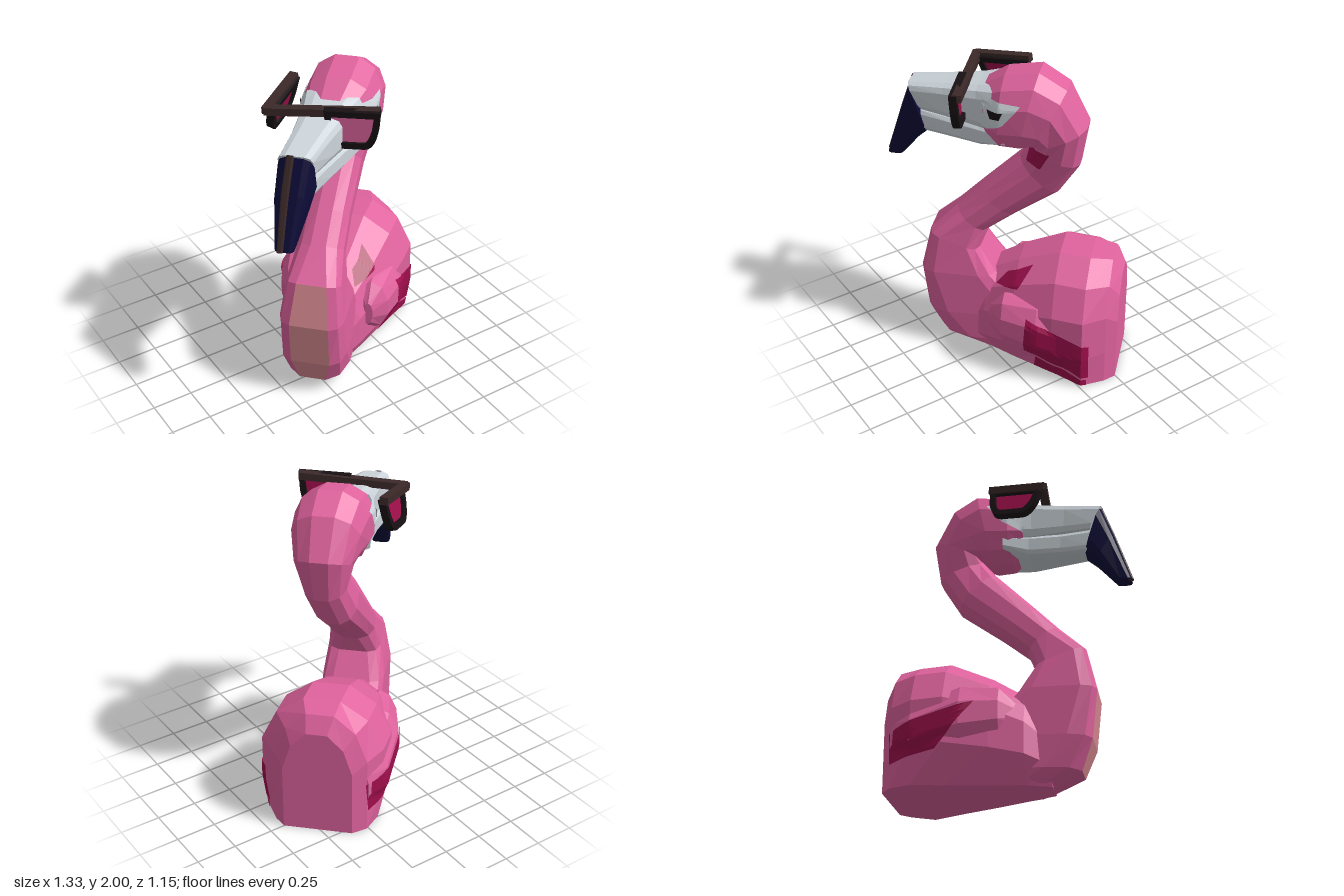
import * as THREE from 'three';

const mat = (name, color, side = THREE.FrontSide) => {
  const m = new THREE.MeshStandardMaterial({ color, flatShading: true, side });
  m.name = name;
  return m;
};

// u runs forward along the bird, w runs across it; the bird faces diagonally
const P = (u, y, w) => new THREE.Vector3((w - u) * Math.SQRT1_2, y, (u + w) * Math.SQRT1_2);

// Skin closed rings of equal length and cap both ends; accent(i, j) picks quads for material 1
function loft(rings, accent = () => false) {
  const sets = [[], []];
  const n = rings[0].length;
  const mid = r => r.reduce((s, p) => s.add(p), new THREE.Vector3()).divideScalar(n);
  for (let i = 0; i < rings.length - 1; i++) {
    for (let j = 0; j < n; j++) {
      const k = (j + 1) % n;
      const [a, b, c, d] = [rings[i][j], rings[i][k], rings[i + 1][k], rings[i + 1][j]];
      sets[accent(i, j) ? 1 : 0].push([a, b, c], [a, c, d]);
    }
  }
  const first = rings[0], last = rings[rings.length - 1];
  const c0 = mid(first), c1 = mid(last);
  for (let j = 0; j < n; j++) {
    const k = (j + 1) % n;
    sets[0].push([c0, first[k], first[j]], [c1, last[j], last[k]]);
  }
  // turn the skin outward if its volume comes out negative
  const tris = [...sets[0], ...sets[1]];
  const volume = tris.reduce((s, [a, b, c]) => s + a.clone().sub(c0).dot(b.clone().sub(c0).cross(c.clone().sub(c0))), 0);
  const pts = tris.flatMap(([a, b, c]) => (volume < 0 ? [a, c, b] : [a, b, c]));
  const g = new THREE.BufferGeometry().setFromPoints(pts);
  g.addGroup(0, sets[0].length * 3, 0);
  if (sets[1].length) g.addGroup(sets[0].length * 3, sets[1].length * 3, 1);
  g.computeVertexNormals();
  return g;
}

// Rings from [front u, front y, back u, back y, half width, w, roundness]; low roundness is boxy
function tubeRings(sections, round, n = 12) {
  return sections.map(([fu, fy, bu, by, b, w, pow = round]) => Array.from({ length: n }, (_, i) => {
    const t = (i + 0.5) / n * Math.PI * 2;
    const soft = v => Math.sign(v) * Math.abs(v / Math.cos(Math.PI / n)) ** pow;
    const c = soft(Math.cos(t)), s = soft(Math.sin(t));
    return P((fu + bu) / 2 + c * (fu - bu) / 2, (fy + by) / 2 + c * (fy - by) / 2, w + s * b);
  }));
}

// Thin coloured patch: a four-cornered (u, y) area pressed onto the targets from one side
function patch(targets, corners, side, lift = 0.008, n = 10) {
  const ray = new THREE.Raycaster();
  const dir = P(0, 0, -side).normalize();
  const [a, b, c, d] = corners.map(q => new THREE.Vector2(...q));
  const grid = [];
  for (let i = 0; i <= n; i++) {
    for (let j = 0; j <= n; j++) {
      const q = a.clone().lerp(b, i / n).lerp(d.clone().lerp(c, i / n), j / n);
      ray.set(P(q.x, q.y, side * 2), dir);
      const hit = ray.intersectObjects(targets)[0];
      grid.push(hit ? hit.point.clone().addScaledVector(dir, -lift) : null);
    }
  }
  const pts = [];
  const add = (...t) => {
    if (t.every(Boolean) && t[0].distanceTo(t[1]) < 0.2 && t[0].distanceTo(t[2]) < 0.2) pts.push(...t);
  };
  for (let i = 0; i < n; i++) {
    for (let j = 0; j < n; j++) {
      const k = i * (n + 1) + j;
      add(grid[k], grid[k + 1], grid[k + n + 2]);
      add(grid[k], grid[k + n + 2], grid[k + n + 1]);
    }
  }
  const g = new THREE.BufferGeometry().setFromPoints(pts);
  g.computeVertexNormals();
  return g;
}

export function createModel() {
  const group = new THREE.Group();
  const two = THREE.DoubleSide;
  const pink = mat('pink feathers', 0xe0639e), salmon = mat('salmon chest', 0xd98b93);
  const magenta = mat('magenta feathers', 0xa00f4c, two), white = mat('pale bill', 0xcfd7dd, two);
  const navy = mat('navy bill tip', 0x0d0b38), brown = mat('brown frame', 0x3c2929);
  const black = mat('black', 0x181114, two);
  const add = (name, geometry, material) => {
    const m = new THREE.Mesh(geometry, material);
    m.name = name;
    group.add(m);
    return m;
  };

  // chest, neck and head in one sweep, with a salmon strip down the breast
  const neck = add('neckAndHead', loft(tubeRings([
    [0.34, 0, -0.25, 0, 0.16, 0.02, 1], [0.51, 0.09, -0.2, 0.09, 0.19, 0.02, 0.65],
    [0.58, 0.27, -0.1, 0.3, 0.2, 0.02, 0.4], [0.615, 0.57, 0.15, 0.58, 0.195, 0.02, 0.38],
    [0.555, 0.84, 0.25, 0.74, 0.165, 0.025, 0.45], [0.39, 1.01, 0.2, 0.86, 0.14, 0.03],
    [0.24, 1.17, 0.03, 1.0, 0.132, 0.04], [0, 1.42, -0.23, 1.2, 0.13, 0.06],
    [-0.07, 1.52, -0.36, 1.42, 0.13, 0.1], [-0.09, 1.54, -0.4, 1.68, 0.165, 0.105],
    [-0.07, 1.53, -0.28, 1.91, 0.2, 0.1], [-0.01, 1.5, -0.12, 2.0, 0.215, 0.09],
    [0.1, 1.5, 0.08, 1.96, 0.21, 0.08], [0.18, 1.55, 0.2, 1.88, 0.165, 0.06],
  ], 0.85), (i, j) => i > 0 && i < 4 && j === 11), [pink, salmon]);

  // body: [u, half width, top, w, width of the base]
  const outline = [[-1, 0.28], [-1, 0.62], [-0.75, 0.86], [-0.3, 1],
    [0.3, 1], [0.75, 0.86], [1, 0.62], [1, 0.28]];
  const body = add('body', loft([
    [-0.64, 0.21, 0.69, 0.08, 1], [-0.58, 0.28, 0.79, 0.07, 1], [-0.45, 0.37, 0.81, 0.085, 0.92],
    [-0.26, 0.37, 0.81, 0.065, 0.75], [0, 0.31, 0.69, 0.04, 0.65], [0.2, 0.24, 0.56, 0.01, 0.6],
    [0.34, 0.14, 0.4, 0.01, 0.6],
  ].map(([u, hw, top, w, base]) => [[-base, 0], ...outline, [base, 0]]
    .map(([x, y]) => P(u, y * top, w + x * hw)))), pink);

  // folded wings bulging from the sides
  const wings = [[0.29, 0, 'leftWing'], [-0.175, 0.05, 'rightWing']].map(([w, dy, name]) => add(name, loft([
    [0.15, 0.36, 0.08, 0.03], [0.06, 0.36, 0.18, 0.115], [-0.16, 0.34, 0.22, 0.165],
    [-0.45, 0.26, 0.2, 0.14], [-0.58, 0.24, 0.12, 0.05],
  ].map(([u, y, hh, hw]) => Array.from({ length: 10 }, (_, i) => {
    const t = i / 10 * Math.PI * 2;
    return P(u, y + dy + Math.cos(t) * hh, w + Math.sin(t) * hw);
  }))), pink));

  // magenta feather areas
  const torso = [body, neck, ...wings];
  add('leftFlightFeathers', patch(torso, [[-0.1, 0.46], [-0.49, 0.32], [-0.49, 0.06], [-0.08, 0.17]], 1), magenta);
  add('leftLowerFeathers', patch(torso, [[-0.15, 0.13], [-0.48, 0.045], [-0.48, 0.005], [-0.13, 0.01]], 1), magenta);
  add('rightFlightFeathers', patch(torso, [[-0.07, 0.46], [-0.59, 0.33], [-0.58, 0.14], [-0.3, 0.19]], -1), magenta);
  add('shoulderSpot', patch(torso, [[0.13, 0.54], [0.06, 0.62], [-0.1, 0.71], [-0.02, 0.58]], 1), magenta);
  add('neckSpot', patch([neck], [[-0.05, 1.44], [-0.07, 1.54], [-0.2, 1.53], [-0.14, 1.41]], 1), magenta);

  // bill
  const upperBill = add('upperBill', loft(tubeRings([
    [0.12, 1.61, 0.12, 1.9, 0.18, 0.065], [0.24, 1.61, 0.24, 1.87, 0.145, 0.045],
    [0.44, 1.62, 0.45, 1.83, 0.115, 0.01], [0.6, 1.62, 0.68, 1.79, 0.098, -0.03],
  ], 0.45)), white);
  add('lowerBill', loft(tubeRings([
    [0.06, 1.55, 0.06, 1.64, 0.185, 0.075], [0.22, 1.5, 0.22, 1.64, 0.138, 0.05],
    [0.42, 1.49, 0.42, 1.63, 0.107, 0.01], [0.58, 1.48, 0.61, 1.63, 0.09, -0.03],
  ], 0.45)), white);
  add('billTip', loft(tubeRings([
    [0.57, 1.48, 0.67, 1.79, 0.102, -0.03], [0.64, 1.41, 0.745, 1.58, 0.092, -0.045],
    [0.75, 1.27, 0.845, 1.27, 0.055, -0.06],
  ], 0.55)), navy);
  add('billRidge', loft(tubeRings([
    [0.65, 1.76, 0.68, 1.795, 0.022, -0.055], [0.73, 1.57, 0.755, 1.58, 0.022, -0.07],
    [0.82, 1.27, 0.855, 1.27, 0.018, -0.08],
  ], 0.5)), brown);

  // pale eye areas and sleepy eyes
  const face = [neck, upperBill];
  for (const s of [1, -1]) {
    add('eyeArea', patch(face, [[0.2, 1.85], [-0.04, 1.85], [0.06, 1.72], [0.2, 1.64]], s, 0.006), white);
    add('eye', patch(face, [[0.16, 1.79], [0.06, 1.8], [0.08, 1.755], [0.14, 1.74]], s, 0.012), black);
  }

  // spectacles: each lens hangs below its top edge from a to b and narrows downward
  const lens = (name, a, b, h, tilt, glass) => {
    const len = a.distanceTo(b);
    const trace = (path, m) => {
      path.moveTo(m, -m);
      path.lineTo(len - m, -m);
      path.lineTo(len * 0.96 - m, -h * 0.5);
      path.quadraticCurveTo(len * 0.88 - m, -h + m, len * 0.7, -h + m);
      path.lineTo(len * 0.3, -h + m);
      path.quadraticCurveTo(len * 0.12 + m, -h + m, len * 0.04 + m, -h * 0.5);
      path.closePath();
      return path;
    };
    const rim = trace(new THREE.Shape(), 0);
    rim.holes.push(trace(new THREE.Path(), 0.038));
    const x = b.clone().sub(a).normalize();
    const z = x.clone().cross(new THREE.Vector3(0, 1, 0)).normalize();
    const y = z.clone().cross(x).addScaledVector(z, tilt).normalize();
    const m = new THREE.Matrix4().makeBasis(x, y, x.clone().cross(y)).setPosition(a);
    const rimGeo = new THREE.ExtrudeGeometry(rim, { depth: 0.045, bevelEnabled: false, curveSegments: 5 });
    const pane = depth => new THREE.ShapeGeometry(trace(new THREE.Shape(), 0.035), 5).translate(0, 0, depth).applyMatrix4(m);
    add(name + 'Rim', rimGeo.applyMatrix4(m), black);
    add(name + 'Front', pane(0.03), glass);
    add(name + 'Back', pane(0.022), magenta);
  };
  const bar = (name, a, b) => {
    const m = add(name, new THREE.BoxGeometry(0.052, 0.045, a.distanceTo(b) + 0.03), brown);
    m.position.copy(a).add(b).multiplyScalar(0.5);
    m.lookAt(b);
  };
  const V = (x, y, z) => new THREE.Vector3(x, y, z);
  const hinge = V(-0.43, 1.855, 0.05), outer = V(0.03, 1.895, 0.46), rear = V(-0.15, 1.9, -0.13);
  bar('browBar', hinge, outer);
  bar('sideBar', hinge, rear);
  lens('leftLens', V(-0.19, 1.905, 0.265), V(0.045, 1.915, 0.475), 0.24, 0.05, pink);
  lens('rightLens', V(-0.42, 1.87, 0.045), V(-0.145, 1.91, -0.14), 0.21, 0.25, magenta);
  return group;
}
